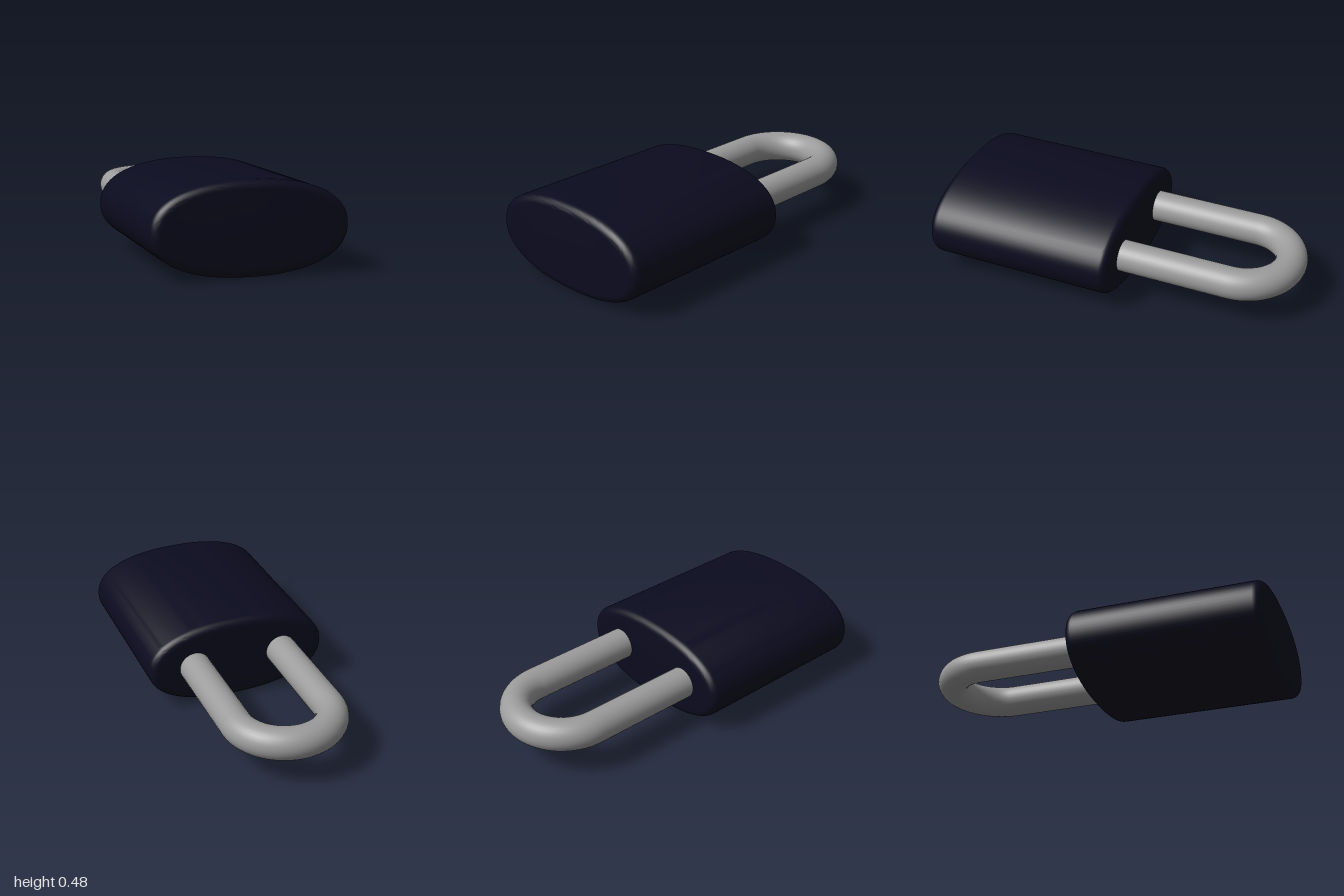
import * as THREE from 'three';
import { mergeVertices, toCreasedNormals } from 'three/addons/utils/BufferGeometryUtils.js';

const HALF_W = 0.508, HALF_H = 0.239; // body half width and half height
const FRONT = 1, BACK = -0.055, BEVEL = 0.045;

// Rounded oval outline, inset so that the bevel brings it back to full size
function ovalOutline(inset) {
  const points = [], steps = 96, power = 2 / 2.25;
  const bend = (v) => Math.sign(v) * Math.abs(v) ** power;
  for (let i = 0; i < steps; i++) {
    const a = (i / steps) * Math.PI * 2;
    points.push(new THREE.Vector2(
      (HALF_W - inset) * bend(Math.cos(a)),
      (HALF_H - inset) * bend(Math.sin(a))
    ));
  }
  return new THREE.Shape(points);
}

// Body: oval block with softly rounded end edges
function createBody(material) {
  let geometry = new THREE.ExtrudeGeometry(ovalOutline(BEVEL), {
    depth: FRONT - BACK - 2 * BEVEL,
    bevelEnabled: true,
    bevelThickness: BEVEL,
    bevelSize: BEVEL,
    bevelSegments: 8,
  });
  geometry.deleteAttribute('uv');
  geometry.deleteAttribute('normal');
  geometry = toCreasedNormals(mergeVertices(geometry, 1e-4), 0.6);
  geometry.translate(0, HALF_H, BACK + BEVEL);
  const mesh = new THREE.Mesh(geometry, material);
  mesh.name = 'body';
  return mesh;
}

// Shackle: two straight legs joined by a half circle
function createShackle(material) {
  const tube = 0.087, radius = 0.255, bendZ = -1 + tube + radius, legEnd = 0.02;
  class ShacklePath extends THREE.Curve {
    getPoint(t, target = new THREE.Vector3()) {
      const leg = legEnd - bendZ, arc = Math.PI * radius;
      const d = t * (2 * leg + arc);
      if (d < leg) return target.set(radius, HALF_H, legEnd - d);
      if (d > leg + arc) return target.set(-radius, HALF_H, bendZ + d - leg - arc);
      const a = (d - leg) / radius;
      return target.set(radius * Math.cos(a), HALF_H, bendZ - radius * Math.sin(a));
    }
  }
  const mesh = new THREE.Mesh(new THREE.TubeGeometry(new ShacklePath(), 120, tube, 32), material);
  mesh.name = 'shackle';
  return mesh;
}

export function createModel() {
  const navy = new THREE.MeshStandardMaterial({ color: 0x0b0b1f });
  navy.name = 'dark navy';
  const steel = new THREE.MeshStandardMaterial({ color: 0x9c9c9d });
  steel.name = 'steel grey';

  const model = new THREE.Group();
  model.name = 'padlock';
  model.add(createBody(navy), createShackle(steel));
  return model;
}
